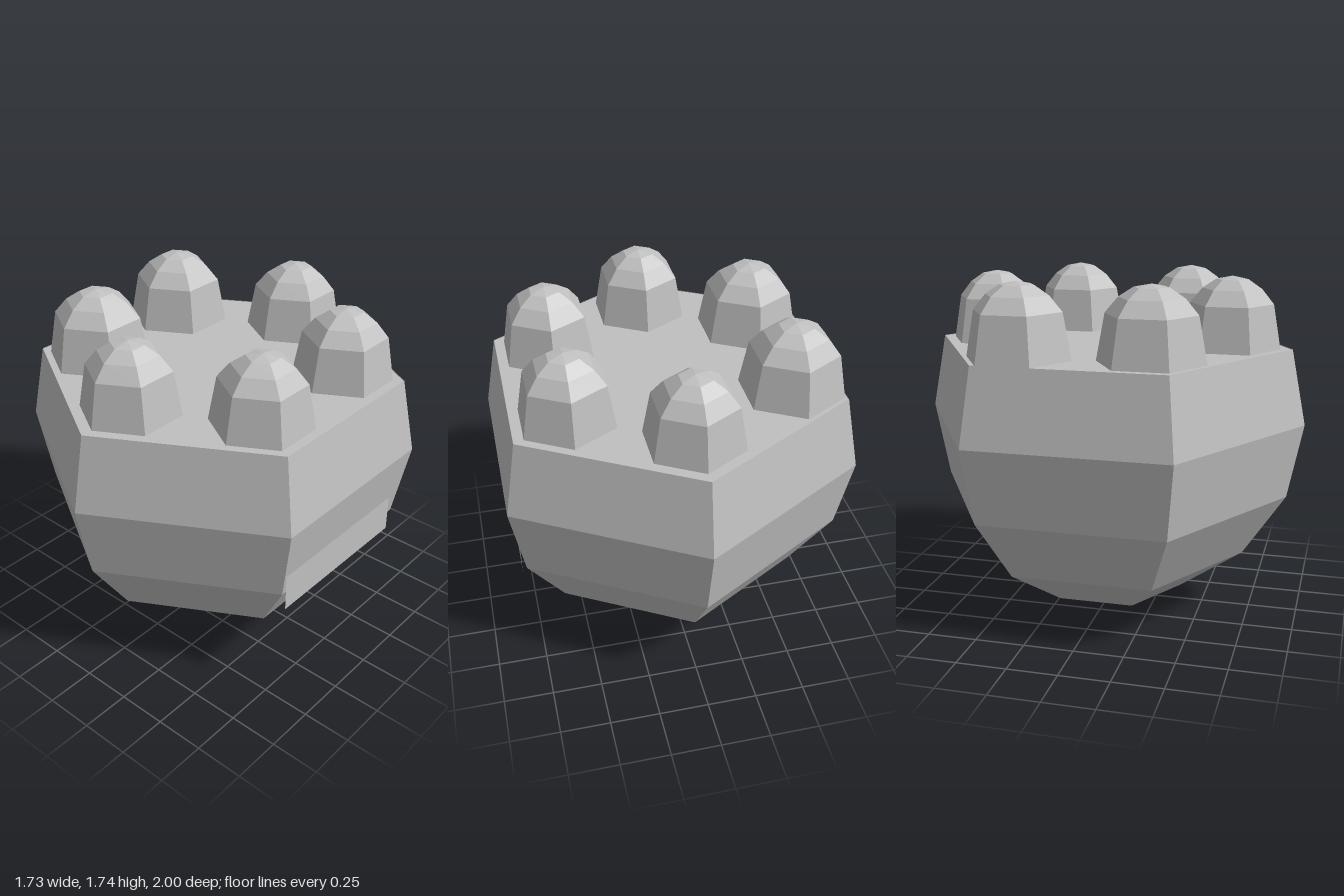
import * as THREE from 'three';

const grey = new THREE.MeshStandardMaterial({ color: 0xc0c0c0 });
grey.name = 'grey';
grey.flatShading = true;
grey.side = THREE.DoubleSide;

// Six-sided solid from a bottom-to-top profile, with corners on the z axis
function hexSolid(profile, name) {
  const points = profile.map(([r, y]) => new THREE.Vector2(r, y));
  const mesh = new THREE.Mesh(new THREE.LatheGeometry(points, 6), grey);
  mesh.name = name;
  return mesh;
}

export function createModel() {
  const model = new THREE.Group();
  model.name = 'knobbedBowl';

  // Body: faceted ball of radius 1, cut flat near the top
  const bodyProfile = [];
  for (let i = 0; i <= 5; i++) {
    const a = (i * Math.PI) / 8;
    bodyProfile.push([Math.sin(a), 1 - Math.cos(a)]);
  }
  const topY = bodyProfile[5][1];
  model.add(hexSolid(bodyProfile, 'body'));

  // Flat lid
  model.add(hexSolid([[0.922, topY - 0.003], [0, topY - 0.003]], 'lid'));

  // Ring of domed knobs: x, z, width scale, height scale
  const knobProfile = [[0.248, 0], [0.208, 0.222], [0.148, 0.295], [0.08, 0.341], [0, 0.357]];
  const knobs = [
    [0, 0.615, 1, 1],
    [0, -0.615, 1, 1],
    [0.535, 0.315, 1, 1],
    [0.535, -0.315, 1, 1],
    [-0.52, 0.32, 1.06, 1.02],
    [-0.56, -0.31, 1.06, 1.02],
  ];
  knobs.forEach(([x, z, w, h], i) => {
    const knob = hexSolid(knobProfile, `knob${i + 1}`);
    knob.position.set(x, topY - 0.003, z);
    knob.scale.set(w, h, w);
    model.add(knob);
  });

  // Thin upright plate on the left side
  const plate = new THREE.Mesh(new THREE.PlaneGeometry(0.86, 0.3), grey);
  plate.name = 'sidePlate';
  plate.rotation.y = Math.PI / 2;
  plate.position.set(0.82, 0.69, 0.03);
  model.add(plate);

  return model;
}
